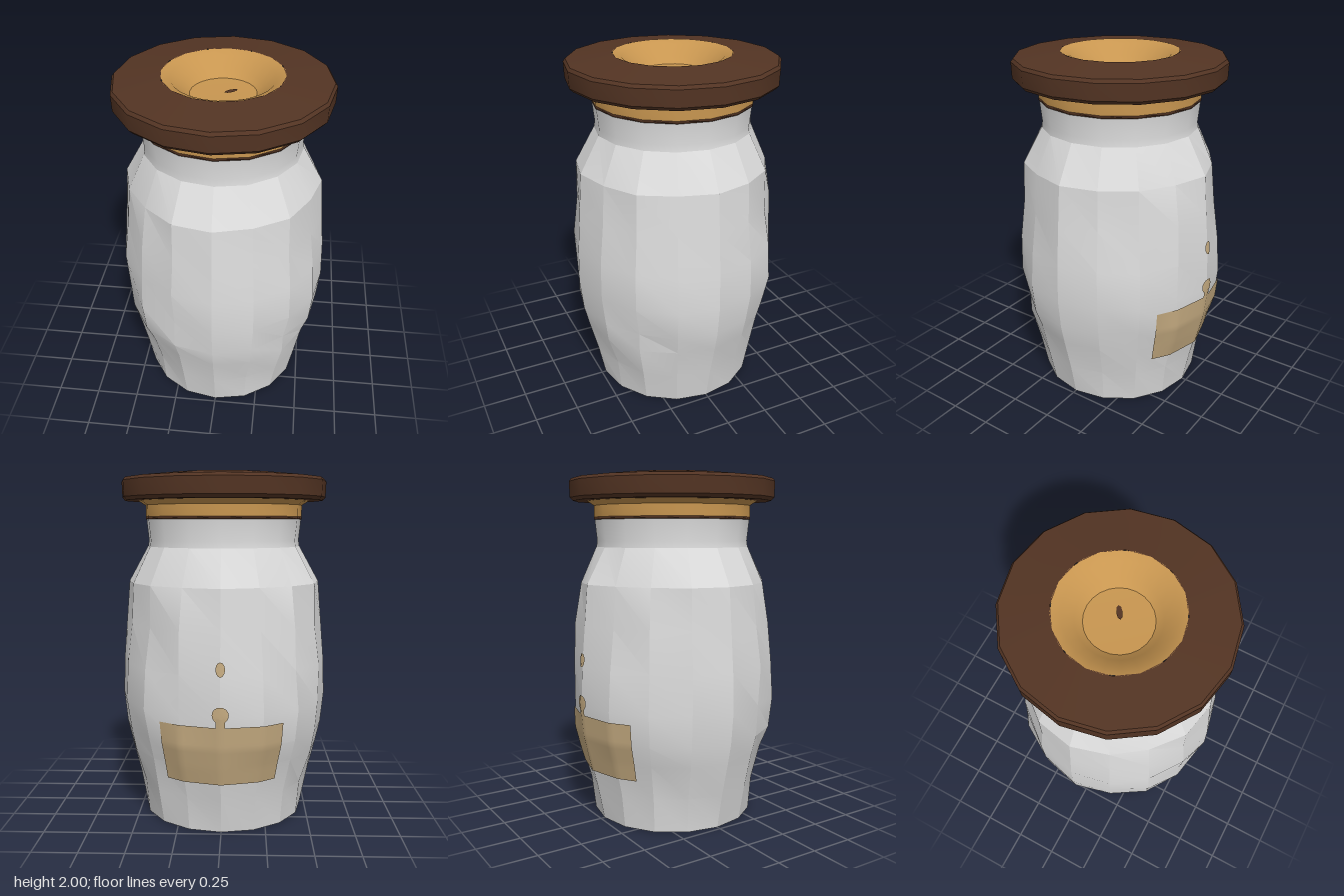
import * as THREE from 'three';
import { toCreasedNormals } from 'three/addons/utils/BufferGeometryUtils.js';

const SIDES = 16;
const STEP = (Math.PI * 2) / SIDES;

// Jar wall as [radius, height], from the base to the shoulder
const WALL = [[0.475, 0], [0.515, 0.2], [0.565, 0.4], [0.592, 0.52], [0.61, 0.7],
  [0.602, 0.92], [0.582, 1.15], [0.562, 1.38], [0.448, 1.585]];

// Repeatable value from 0 to 1 for a column and a row
const hash = (i, k) => {
  const s = Math.sin(i * 127.1 + k * 311.7 + 4.2) * 43758.5453;
  return s - Math.floor(s);
};

// Hammered wall: radius at a grid corner, dented inwards
const wallRadius = (i, k) => {
  const column = ((i % SIDES) + SIDES) % SIDES;
  const dent = k === 0 || k === WALL.length - 1 || column % 4 === 0 ? 0 : 0.028;
  return WALL[k][0] - dent * hash(column, k);
};

// Radius of the faceted wall at any angle and height
function skin(angle, y) {
  let k = 0;
  while (k < WALL.length - 2 && WALL[k + 1][1] < y) k++;
  const t = (y - WALL[k][1]) / (WALL[k + 1][1] - WALL[k][1]);
  const i = Math.floor(angle / STEP);
  const a = angle - i * STEP;
  const r0 = THREE.MathUtils.lerp(wallRadius(i, k), wallRadius(i, k + 1), t);
  const r1 = THREE.MathUtils.lerp(wallRadius(i + 1, k), wallRadius(i + 1, k + 1), t);
  return (r0 * r1 * Math.sin(STEP)) / (r0 * Math.sin(a) + r1 * Math.sin(STEP - a));
}

function lathe(points, sides = SIDES) {
  return new THREE.LatheGeometry(points.map(([r, y]) => new THREE.Vector2(r, y)), sides);
}

function createBody() {
  const geometry = lathe([[0, 0], ...WALL]);
  const pos = geometry.attributes.position;
  const rows = WALL.length + 1;
  for (let n = 0; n < pos.count; n++) {
    const i = Math.floor(n / rows);
    const k = (n % rows) - 1;
    if (k < 0) continue;
    const r = wallRadius(i, k);
    pos.setXYZ(n, r * Math.sin(i * STEP), WALL[k][1], r * Math.cos(i * STEP));
  }
  return toCreasedNormals(geometry, 0.3);
}

// Wraps a flat shape round the back of the jar
function wrap(geometry, centreY) {
  const pos = geometry.attributes.position;
  for (let n = 0; n < pos.count; n++) {
    const angle = Math.PI + pos.getX(n) / 0.6;
    const y = pos.getY(n) + centreY;
    const r = skin(angle, y) + 0.008;
    pos.setXYZ(n, r * Math.sin(angle), y, r * Math.cos(angle));
  }
  geometry.computeVertexNormals();
  return geometry;
}

export function createModel() {
  const group = new THREE.Group();
  const paint = (name, color) => {
    const material = new THREE.MeshStandardMaterial({ color });
    material.name = name;
    return material;
  };
  const glass = paint('pale glass', 0xdcdcdc);
  const wood = paint('dark wood', 0x533423);
  const cork = paint('cork', 0xc89650);
  const tan = paint('label tan', 0xc4aa80);

  const add = (name, geometry, material) => {
    const mesh = new THREE.Mesh(geometry, material);
    mesh.name = name;
    group.add(mesh);
    return mesh;
  };

  // Jar
  add('jarBody', createBody(), glass);
  add('jarNeck', toCreasedNormals(lathe([[0.448, 1.58], [0.442, 1.62], [0.455, 1.745], [0.4, 1.745]]), 0.5), glass);

  // Stopper, with a dark seam where it meets the neck
  add('stopperSeam', lathe([[0.4, 1.74], [0.458, 1.74], [0.458, 1.755], [0.4, 1.755]]), wood);
  add('stopper', toCreasedNormals(lathe([[0.4, 1.755], [0.458, 1.755], [0.458, 1.82], [0.5, 1.846]]), 0.5), cork);

  // Lid, a broad ring
  add('lid', toCreasedNormals(lathe([[0.49, 1.846], [0.578, 1.846], [0.595, 1.865],
    [0.598, 1.955], [0.585, 1.972], [0.33, 2.0]]), 0.5), wood);

  // Cork bowl sunk in the lid
  add('lidBowl', toCreasedNormals(lathe([[0.33, 2.0], [0.28, 1.98], [0.22, 1.92], [0.18, 1.89], [0, 1.885]], 24), 0.6), cork);
  const chip = add('bowlChip', new THREE.CircleGeometry(0.04, 8), wood);
  chip.rotation.set(-Math.PI / 2, 0, 0.6);
  chip.scale.set(1, 0.4, 1);
  chip.position.set(0.04, 1.892, -0.02);

  // Back label, with its tab and a dot above
  add('label', wrap(new THREE.PlaneGeometry(0.73, 0.34, 28, 16), 0.475), tan);
  add('labelTab', wrap(new THREE.PlaneGeometry(0.05, 0.05, 4, 4), 0.67), tan);
  add('labelKnob', wrap(new THREE.CircleGeometry(0.045, 16), 0.715), tan);
  add('labelDot', wrap(new THREE.CircleGeometry(0.032, 12).scale(0.8, 1.25, 1), 0.96), tan);

  return group;
}
